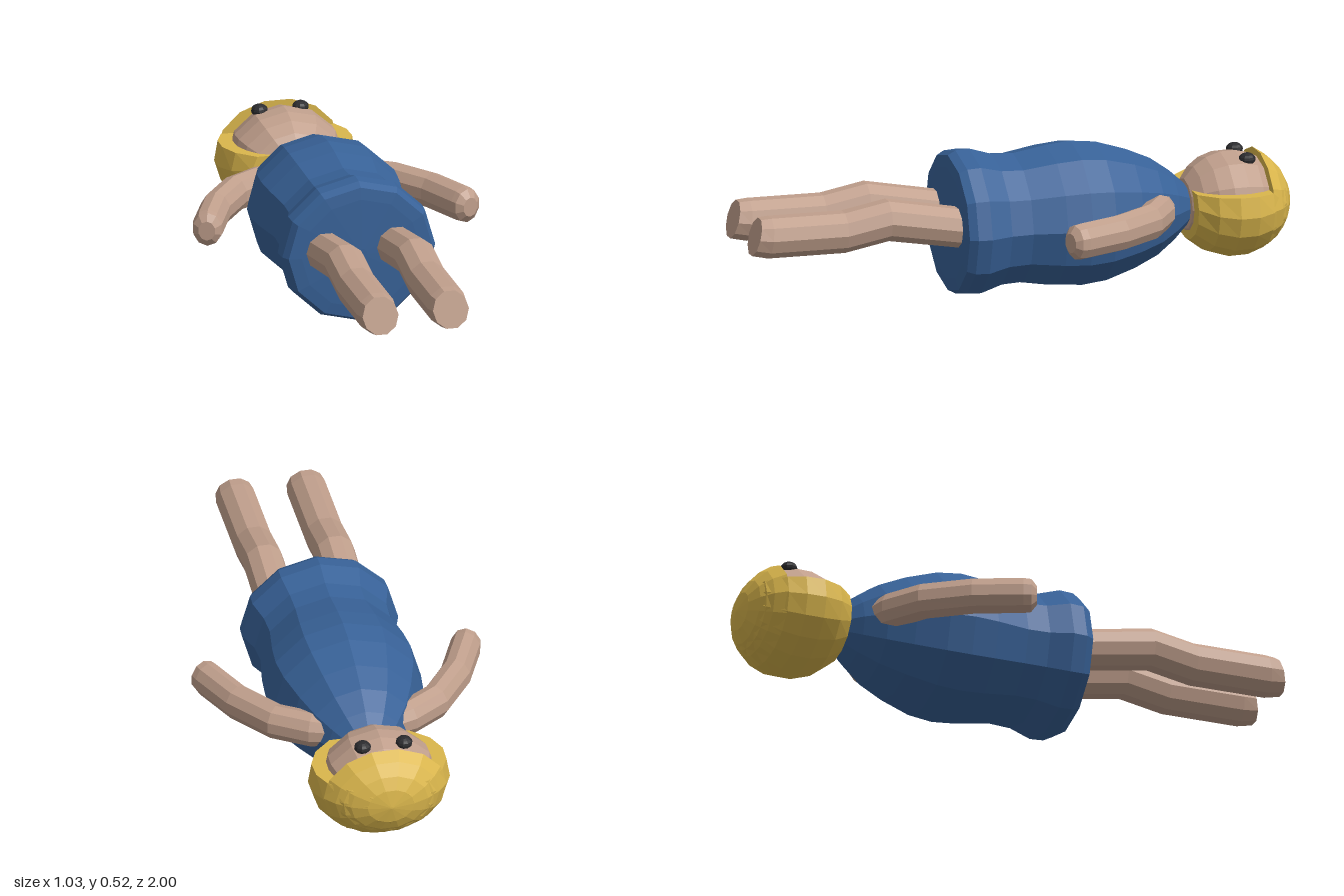
import * as THREE from 'three';

const V = (x, y, z) => new THREE.Vector3(x, y, z);
const X = V(1, 0, 0), Y = V(0, 1, 0);

const material = (name, color) => {
  const m = new THREE.MeshStandardMaterial({ color, flatShading: true });
  m.name = name;
  return m;
};

// Points on an ellipse (or an arc of one) around c, spanned by axes u and v.
function ring(c, u, v, ru, rv, n, a0 = 0, a1 = Math.PI * 2) {
  const full = a1 - a0 > 6.28;
  return Array.from({ length: n }, (_, i) => {
    const a = a0 + (a1 - a0) * i / (full ? n : n - 1);
    return c.clone().addScaledVector(u, ru * Math.cos(a)).addScaledVector(v, rv * Math.sin(a));
  });
}

// Closed skin over a row of rings, with a flat cap on each end.
function loft(rings) {
  const pos = [];
  const tri = (...p) => p.forEach(q => pos.push(q.x, q.y, q.z));
  const mid = r => r.reduce((s, p) => s.add(p), V(0, 0, 0)).divideScalar(r.length);
  const first = rings[0], last = rings[rings.length - 1], n = first.length;
  const c0 = mid(first), c1 = mid(last);
  for (let i = 0; i < n; i++) {
    const j = (i + 1) % n;
    tri(c0, first[j], first[i]);
    for (let k = 0; k < rings.length - 1; k++) {
      const a = rings[k], b = rings[k + 1];
      tri(a[i], a[j], b[j]);
      tri(a[i], b[j], b[i]);
    }
    tri(c1, last[i], last[j]);
  }
  const g = new THREE.BufferGeometry();
  g.setAttribute('position', new THREE.Float32BufferAttribute(pos, 3));
  g.computeVertexNormals();
  return g;
}

export function createModel() {
  const group = new THREE.Group();
  const skin = material('skin', 0xc09f8c);
  const blue = material('dress blue', 0x386298);
  const yellow = material('hair yellow', 0xdab64c);
  const black = material('eye black', 0x2b2b2e);
  const add = (name, geometry, mat) => {
    const m = new THREE.Mesh(geometry, mat);
    m.name = name;
    group.add(m);
    return m;
  };

  // Dress: rings along z from neck to hem [z, radius]
  const dress = [[-0.63, 0.07], [-0.57, 0.125], [-0.5, 0.175], [-0.41, 0.215], [-0.3, 0.25],
    [-0.21, 0.26], [-0.12, 0.252], [0, 0.232], [0.08, 0.236], [0.16, 0.261], [0.21, 0.258],
    [0.238, 0.243], [0.243, 0.2], [0.25, 0.02]];
  add('dress', loft(dress.map(([z, r]) =>
    ring(V(0, 0.262, z), X, Y, r * 1.07, r, 12, -Math.PI / 2, Math.PI * 1.5))), blue);

  // Head: ellipsoid with a flat chin
  const hc = V(0, 0.262, -0.79);
  const headRings = [];
  for (let i = 0; i <= 9; i++) {
    const z = Math.min(-0.19 * Math.cos(i / 9 * 2.62), 0.165);
    const s = Math.max(Math.sqrt(1 - (z / 0.19) ** 2), 0.02);
    headRings.push(ring(hc.clone().setZ(hc.z + z), X, Y, 0.205 * s, 0.18 * s, 12));
  }
  add('head', loft(headRings), skin);

  // Hair at the back of the head, cut straight along the sides of the face
  const cut = 0.062, rx = 0.25, ry = 0.197, rz = 0.21;
  const hairRing = (z, open) => {
    const s = Math.max(Math.sqrt(1 - (z / rz) ** 2), 0.02);
    const c = hc.clone().add(V(0, 0.004, z));
    if (!open) return ring(c, X, Y, rx * s, ry * s, 14);
    const a = Math.asin(Math.min(0.99, cut / (ry * s)));
    return ring(c, X, Y, rx * s, ry * s, 11, Math.PI - a, Math.PI * 2 + a);
  };
  add('backHair', loft([-0.198, -0.16, -0.1, -0.04, 0.03, 0.1, 0.16].map(z => hairRing(z, true))), yellow);

  // Hair over the crown, ending in a straight fringe
  add('crownHair', loft([-0.21, -0.198, -0.175, -0.14, -0.1].map(z => hairRing(z, false))), yellow);

  for (const s of [1, -1]) {
    const side = s > 0 ? 'left' : 'right';

    // Eye: small flattened ball
    const eye = add(side + 'Eye', new THREE.SphereGeometry(0.03, 10, 8), black);
    eye.scale.y = 0.75;
    eye.position.set(s * 0.074 - 0.006, 0.424, -0.835);

    // Leg: bent at the knee, with a slanted sole [y, z, radius, slant]
    const leg = [[0.262, 0.12, 0.073, 0], [0.28, 0.25, 0.073, 0], [0.325, 0.5, 0.075, 0],
      [0.295, 0.66, 0.075, 0], [0.297, 0.935, 0.075, 0.1], [0.302, 0.983, 0.067, 0.26]];
    add(side + 'Leg', loft(leg.map(([y, z, r, slant]) => {
      const pts = ring(V(s * 0.127, y, z), X, Y, r * 0.97, r, 10);
      pts.forEach(p => { p.z -= (p.y - y) * slant; });
      return pts;
    })), skin);

    // Arm: curves out and down to a rounded hand [x, z, radius]
    const arm = [[0.08, -0.52, 0.045], [0.17, -0.485, 0.055], [0.285, -0.41, 0.055],
      [0.39, -0.265, 0.055], [0.46, -0.105, 0.055], [0.469, -0.08, 0.052], [0.476, -0.062, 0.03]];
    const path = arm.map(([x, z]) => V(s * x, 0.283, z));
    add(side + 'Arm', loft(path.map((c, i) => {
      const d = path[Math.min(i + 1, 6)].clone().sub(path[Math.max(i - 1, 0)]).normalize();
      const u = Y.clone().cross(d);
      return ring(c, u, Y, arm[i][2], arm[i][2] * 1.18, 10, Math.PI / 10, Math.PI * 2.1);
    })), skin);
  }
  return group;
}
